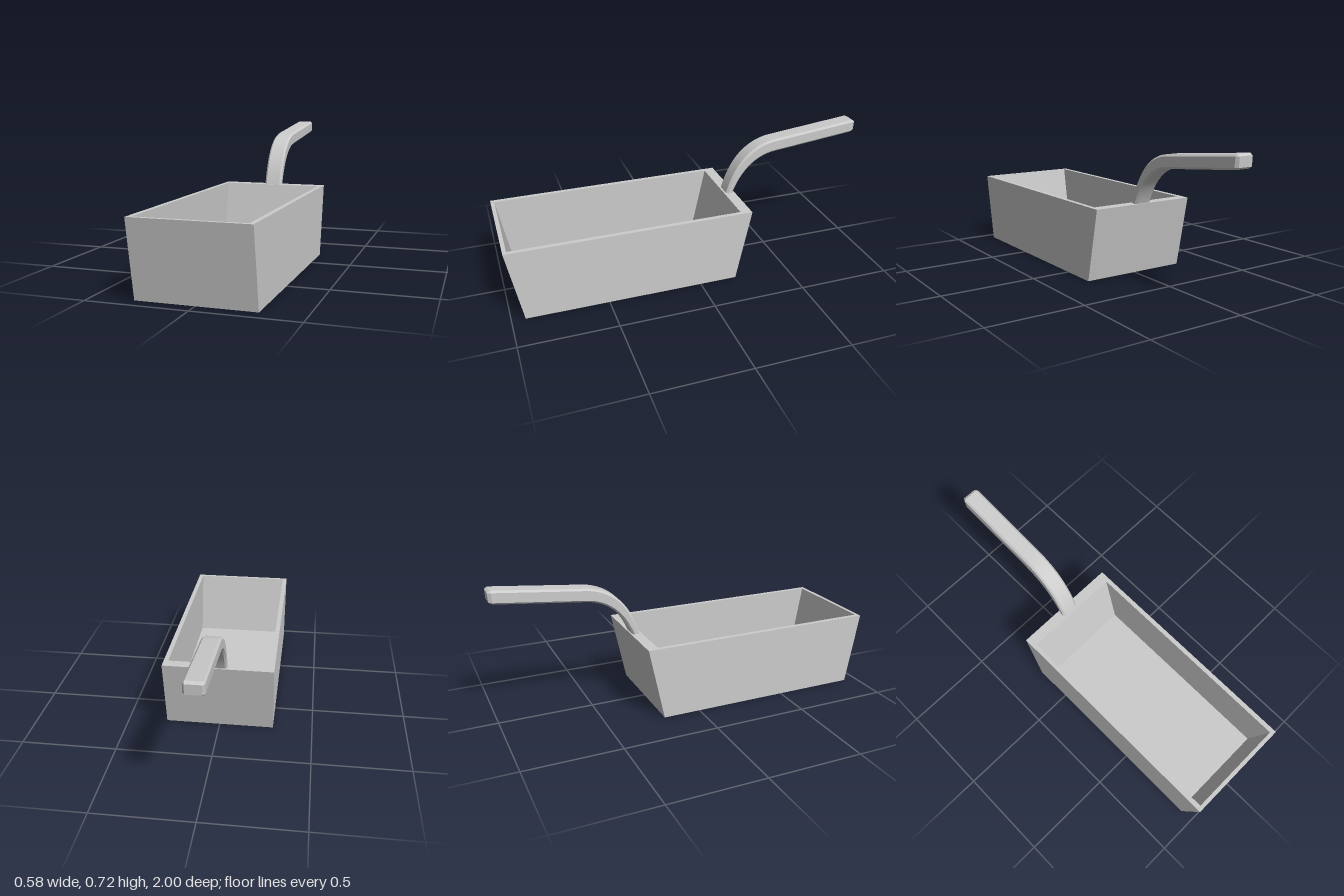
import * as THREE from 'three';
import { toCreasedNormals } from 'three/addons/utils/BufferGeometryUtils.js';

// Skin a list of equal-length rings (counter-clockwise seen from the far end) and cap both ends
function loft(rings, crease) {
  const pos = [];
  const tri = (a, b, c) => pos.push(...a, ...b, ...c);
  const n = rings[0].length;
  for (let i = 0; i < rings.length - 1; i++) {
    for (let j = 0; j < n; j++) {
      const k = (j + 1) % n;
      const [a, b, c, d] = [rings[i][j], rings[i][k], rings[i + 1][k], rings[i + 1][j]];
      tri(a, b, c);
      tri(a, c, d);
    }
  }
  const first = rings[0], last = rings[rings.length - 1];
  for (let j = 1; j < n - 1; j++) {
    tri(first[0], first[j + 1], first[j]);
    tri(last[0], last[j], last[j + 1]);
  }
  const geo = new THREE.BufferGeometry();
  geo.setAttribute('position', new THREE.Float32BufferAttribute(pos, 3));
  return toCreasedNormals(geo, crease);
}

// Rectangular ring at one height
const rect = (x, zBack, zFront, y) => [[x, y, zFront], [x, y, zBack], [-x, y, zBack], [-x, y, zFront]];

// Chamfered section spanning from the lower edge to the upper edge of the handle
function section(lower, upper, halfWidth, chamfer) {
  const w = halfWidth, c = chamfer / lower.distanceTo(upper), m = w - chamfer;
  const outline = [[w, c], [w, 1 - c], [m, 1], [-m, 1], [-w, 1 - c], [-w, c], [-m, 0], [m, 0]];
  return outline.map(([u, t]) => {
    const p = lower.clone().lerp(upper, t); // p.x holds z, p.y holds y
    return [-u, p.y, p.x];
  });
}

export function createModel() {
  const group = new THREE.Group();
  const material = new THREE.MeshStandardMaterial({ color: 0xcccccc });
  const add = (name, geo) => {
    const mesh = new THREE.Mesh(geo, material);
    mesh.name = name;
    group.add(mesh);
  };

  // Open box: up the outside, across the rim, down the inside to the floor
  add('scoopBox', loft([
    rect(0.29, -0.2, 0.93, 0),
    rect(0.29, -0.283, 1, 0.387),
    rect(0.266, -0.225, 0.98, 0.387),
    rect(0.266, -0.147, 0.918, 0.03),
  ], 0.1));

  // Handle: curved neck that thickens upward, then a straight grip with a chamfered tip
  const v = (z, y) => new THREE.Vector2(z, y);
  const upper = new THREE.QuadraticBezierCurve(v(-0.231, 0.37), v(-0.3, 0.64), v(-0.51, 0.668));
  const lower = new THREE.QuadraticBezierCurve(v(-0.268, 0.37), v(-0.345, 0.575), v(-0.51, 0.597));
  const rings = [];
  const steps = 16;
  for (let i = 0; i <= steps; i++) {
    rings.push(section(lower.getPoint(i / steps), upper.getPoint(i / steps), 0.048, 0.01));
  }
  rings.push(section(v(-0.979, 0.649), v(-0.985, 0.719), 0.048, 0.01));
  rings.push(section(v(-0.997, 0.66), v(-1, 0.71), 0.038, 0.002));
  add('handle', loft(rings, 0.4));

  return group;
}
